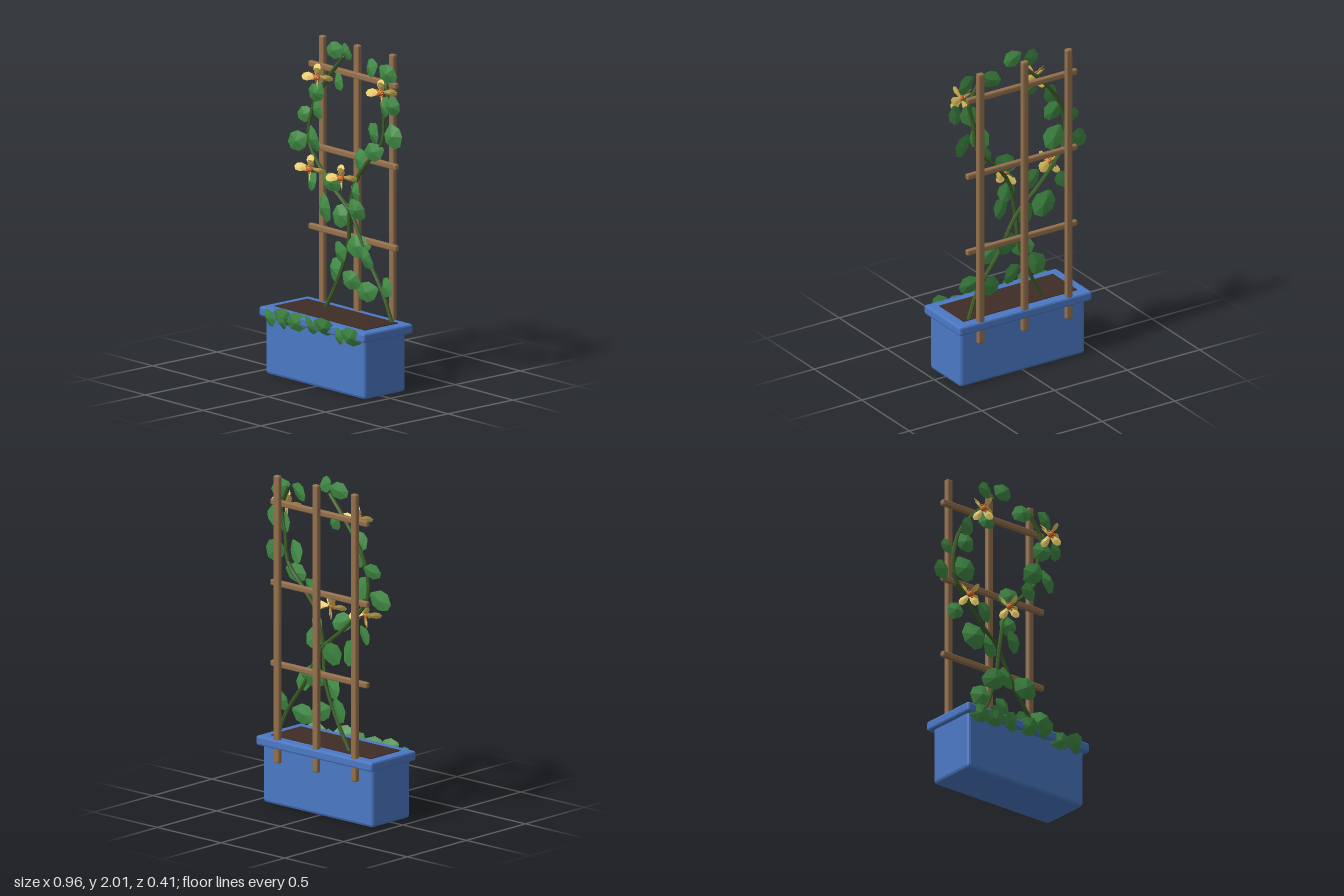
import * as THREE from 'three';
import { RoundedBoxGeometry } from 'three/addons/geometries/RoundedBoxGeometry.js';

const mat = (color, side = THREE.FrontSide) =>
  new THREE.MeshStandardMaterial({ color, flatShading: true, side });
const blue = mat(0x4a78c4), soilMat = mat(0x3f2d25), wood = mat(0x94704c), stemMat = mat(0x3c5e28);
const leafMat = mat(0x418c45), petalMat = mat(0xe6c862), orange = mat(0xd8702e);

function add(parent, name, geometry, material, x = 0, y = 0, z = 0) {
  const mesh = new THREE.Mesh(geometry, material);
  mesh.name = name;
  mesh.position.set(x, y, z);
  parent.add(mesh);
  return mesh;
}

// Box with a single-step chamfer on every edge
const chamferBox = (w, h, d, r) => new RoundedBoxGeometry(w, h, d, 1, r);

// Faceted blade: outline in xy, raised to a peak in front and behind
function bladeGeometry(outline, front, back, bend) {
  const n = outline.length;
  const verts = outline.flatMap(([x, y]) => [x, y, -bend * y * y]);
  verts.push(0, 0, front, 0, 0, -back);
  const index = [];
  for (let i = 0; i < n; i++) {
    const j = (i + 1) % n;
    index.push(i, j, n, j, i, n + 1);
  }
  const g = new THREE.BufferGeometry();
  g.setAttribute('position', new THREE.Float32BufferAttribute(verts, 3));
  g.setIndex(index);
  const flat = g.toNonIndexed();
  flat.computeVertexNormals();
  return flat;
}

// Unit leaf, tip towards +y
const leafGeo = bladeGeometry(
  [[-0.3, -0.93], [0.3, -0.93], [0.8, -0.25], [0.74, 0.42], [0.12, 1], [-0.12, 1], [-0.74, 0.42], [-0.8, -0.25]],
  0.24, 0.2, 0.12);

// Petal, base at the origin, tip towards +y
const petalGeo = bladeGeometry(
  [[-0.1, -0.5], [0.1, -0.5], [0.3, 0.1], [0.22, 0.4], [0, 0.52], [-0.22, 0.4], [-0.3, 0.1]],
  0.09, 0.06, 0.1).translate(0, 0.5, 0);

// Leaves as [x, y, half length, tip angle in degrees from +x]
const rightVineLeaves = [
  [-0.115, 0.637, 0.08, 70], [0.04, 0.6, 0.07, 150], [-0.04, 0.755, 0.08, 25], [0.08, 0.805, 0.085, 10],
  [0.075, 1.13, 0.066, 100], [0.105, 1.03, 0.07, 120], [0.095, 1.326, 0.072, 40], [0.235, 1.395, 0.07, 20],
  [0.25, 1.51, 0.075, 60], [0.387, 1.51, 0.075, 115], [0.33, 1.68, 0.07, 65], [0.42, 1.7, 0.062, 80],
  [0.195, 1.885, 0.068, 25], [0.355, 1.88, 0.068, 150],
];
const leftVineLeaves = [
  [0.335, 0.61, 0.07, 150], [0.185, 0.557, 0.075, 20], [0.19, 0.76, 0.08, 145], [-0.05, 0.966, 0.078, 70],
  [-0.185, 0.99, 0.088, 115], [-0.11, 1.157, 0.07, 150], [-0.31, 1.12, 0.062, 60], [-0.42, 1.343, 0.074, 30],
  [-0.265, 1.385, 0.08, 120], [-0.37, 1.51, 0.058, 20], [-0.25, 1.565, 0.068, 130], [-0.24, 1.665, 0.066, 55],
  [-0.08, 1.755, 0.06, 140], [-0.095, 1.94, 0.064, 15], [0.02, 1.955, 0.06, 150],
];
// Creeping leaves on the front rim
const rimLeaves = [
  [-0.36, 0.35, 0.068, 5], [-0.23, 0.375, 0.07, 150], [-0.25, 0.345, 0.06, 20], [-0.12, 0.365, 0.072, 25],
  [0, 0.37, 0.07, 175], [0.13, 0.385, 0.075, 155], [0.24, 0.35, 0.065, 15], [0.355, 0.365, 0.075, 160],
];

function addLeaves(parent, list, z, spread, pitch) {
  list.forEach(([x, y, size, angle], i) => {
    const leaf = add(parent, 'leaf', leafGeo, leafMat, x, y, z + (i % 3 - 1) * spread);
    leaf.scale.setScalar(size);
    // yaw and pitch vary in turn, then the tip is turned in the plane
    leaf.rotation.set(pitch + 0.12 * ((i % 3) - 1), (i % 2 ? 1 : -1) * 0.25, THREE.MathUtils.degToRad(angle - 90));
  });
}

function addStem(parent, name, points) {
  const curve = new THREE.CatmullRomCurve3(points.map(p => new THREE.Vector3(...p)));
  add(parent, name, new THREE.TubeGeometry(curve, 28, 0.012, 6, false), stemMat);
  // pointed tip and root caps
  for (const p of [points[0], points[points.length - 1]])
    add(parent, 'stemEnd', new THREE.IcosahedronGeometry(0.012, 0), stemMat, ...p);
}

function makeFlower(x, y, z, turn) {
  const flower = new THREE.Group();
  flower.name = 'flower';
  for (let i = 0; i < 6; i++) {
    const arm = new THREE.Group();
    arm.rotation.z = (i * Math.PI) / 3 - Math.PI / 2 + turn;
    const petal = add(arm, 'petal', petalGeo, petalMat, 0, 0.008, 0);
    petal.scale.setScalar(i % 3 === 0 ? 0.092 : 0.078);
    petal.rotation.set(i % 2 ? 0.5 : -0.4, 0.6, 0);
    flower.add(arm);
  }
  add(flower, 'flowerCentre', new THREE.IcosahedronGeometry(0.02, 1), orange, 0, 0, 0.008);
  for (let i = 0; i < 5; i++) {
    const a = (i * Math.PI * 2) / 5;
    add(flower, 'stamen', new THREE.IcosahedronGeometry(0.007, 0), orange,
      0.022 * Math.cos(a), 0.022 * Math.sin(a), 0.016);
  }
  // short stalk back to the vine
  const stalk = add(flower, 'flowerStalk', new THREE.CylinderGeometry(0.005, 0.005, 0.07, 5), stemMat, 0, 0, -0.035);
  stalk.rotation.x = Math.PI / 2;
  flower.position.set(x, y, z);
  return flower;
}

export function createModel() {
  const model = new THREE.Group();
  model.name = 'planterWithTrellis';

  // Planter box
  const planter = new THREE.Group();
  planter.name = 'planter';
  model.add(planter);
  add(planter, 'planterBody', chamferBox(0.86, 0.37, 0.32, 0.018), blue, 0.006, 0.185, -0.016);
  add(planter, 'planterRim', chamferBox(0.91, 0.058, 0.38, 0.012), blue, 0.006, 0.372, -0.02);
  add(planter, 'soil', new THREE.BoxGeometry(0.784, 0.04, 0.255), soilMat, 0.006, 0.385, -0.022);

  // Trellis: three stakes and three crossbars
  const trellis = new THREE.Group();
  trellis.name = 'trellis';
  model.add(trellis);
  for (const x of [-0.299, 0.004, 0.308])
    add(trellis, 'stake', chamferBox(0.042, 1.716, 0.034, 0.009), wood, x, 1.118, -0.189);
  for (const y of [0.84, 1.322, 1.803])
    add(trellis, 'crossbar', chamferBox(0.758, 0.036, 0.03, 0.008), wood, 0.004, y, -0.158);

  // Two crossing vines
  const vines = new THREE.Group();
  vines.name = 'vines';
  model.add(vines);
  addStem(vines, 'vineToRight', [
    [-0.18, 0.39, -0.1], [-0.08, 0.58, -0.11], [0, 0.8, -0.12], [0.02, 1, -0.11], [0.07, 1.2, -0.12],
    [0.16, 1.32, -0.13], [0.29, 1.46, -0.125], [0.31, 1.62, -0.12], [0.34, 1.76, -0.12], [0.27, 1.905, -0.14]]);
  addStem(vines, 'vineToLeft', [
    [0.36, 0.39, -0.14], [0.29, 0.56, -0.13], [0.14, 0.77, -0.13], [0.02, 0.98, -0.13], [-0.15, 1.13, -0.12],
    [-0.32, 1.33, -0.11], [-0.33, 1.45, -0.11], [-0.28, 1.62, -0.12], [-0.18, 1.76, -0.125], [-0.03, 1.91, -0.11]]);
  addLeaves(vines, rightVineLeaves, -0.105, 0.016, 0);
  addLeaves(vines, leftVineLeaves, -0.1, 0.014, 0);

  // Leaves trailing over the front rim
  const trailing = new THREE.Group();
  trailing.name = 'rimLeaves';
  model.add(trailing);
  addLeaves(trailing, rimLeaves, 0.175, 0.004, 0.3);

  // Flowers
  [[-0.17, 1.777, -0.035, 0], [0.355, 1.777, -0.062, 0.1], [-0.255, 1.215, -0.055, -0.1], [0.03, 1.215, -0.042, 0.05]]
    .forEach(f => model.add(makeFlower(...f)));

  return model;
}
